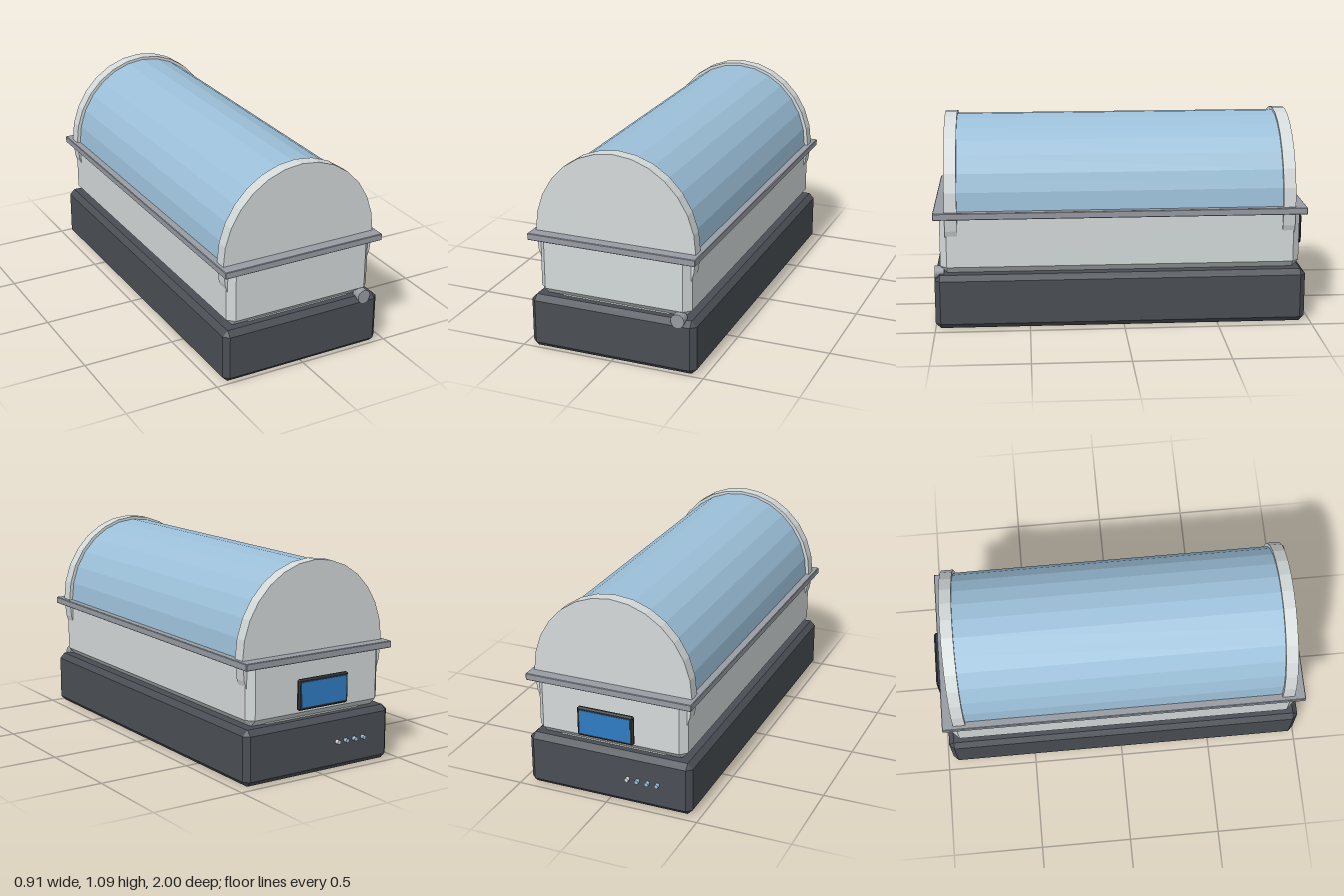
import * as THREE from 'three';
import { ConvexGeometry } from 'three/addons/geometries/ConvexGeometry.js';

const mat = (name, color) => {
  const m = new THREE.MeshStandardMaterial({ color, flatShading: true });
  m.name = name;
  return m;
};

// Box with every edge chamfered by c
function chamferBox(w, h, d, c) {
  const [x, y, z] = [w / 2, h / 2, d / 2];
  const points = [];
  for (const sx of [-1, 1]) for (const sy of [-1, 1]) for (const sz of [-1, 1]) {
    points.push(
      new THREE.Vector3(sx * x, sy * (y - c), sz * (z - c)),
      new THREE.Vector3(sx * (x - c), sy * y, sz * (z - c)),
      new THREE.Vector3(sx * (x - c), sy * (y - c), sz * z));
  }
  return new ConvexGeometry(points);
}

// Elliptical cylinder lying along z
function barrel(rx, ry, length, sides) {
  return new THREE.CylinderGeometry(1, 1, length, sides).rotateX(Math.PI / 2).scale(rx, ry, 1);
}

export function createModel() {
  const group = new THREE.Group();
  const shell = mat('shell light grey', 0xd4d9d9);
  const charcoal = mat('base charcoal', 0x4a4e54);
  const metal = mat('metal grey', 0x979ca3);
  const glass = mat('glass blue', 0x9cc0d9);
  const black = mat('bezel black', 0x323438);
  const blue = mat('display blue', 0x2f7cc4);

  const add = (name, geometry, material, x, y, z) => {
    const mesh = new THREE.Mesh(geometry, material);
    mesh.name = name;
    mesh.position.set(x, y, z);
    group.add(mesh);
  };
  const midZ = 0.015;

  // Base, tub and rim
  add('base', chamferBox(0.91, 0.29, 1.97, 0.028), charcoal, 0, 0.145, midZ);
  add('tub', chamferBox(0.83, 0.336, 1.91, 0.036), shell, 0, 0.46, midZ);
  add('rim', chamferBox(0.91, 0.036, 1.97, 0.003), metal, 0, 0.612, midZ);

  // Domed lid: glass barrel between two end caps
  add('glassDome', barrel(0.416, 0.445, 1.74, 28), glass, 0, 0.629, midZ);
  for (const s of [-1, 1]) {
    add(s > 0 ? 'frontCap' : 'backCap', barrel(0.435, 0.46, 0.065, 28), shell, 0, 0.629, midZ + s * 0.892);
  }

  // Round latch at the front corner
  add('latch', barrel(0.036, 0.036, 0.05, 24), metal, 0.362, 0.29, 0.976);

  // Display on the back
  add('displayBezel', chamferBox(0.31, 0.16, 0.025, 0.008), black, 0, 0.435, -0.9855);
  add('displayScreen', new THREE.BoxGeometry(0.28, 0.128, 0.004), blue, 0, 0.435, -0.998);

  // Row of small buttons below the display
  for (let i = 0; i < 4; i++) {
    add('button' + (i + 1), barrel(0.011, 0.011, 0.03, 12), i ? glass : shell, -0.11 - i * 0.055, 0.147, -0.976);
  }
  return group;
}
